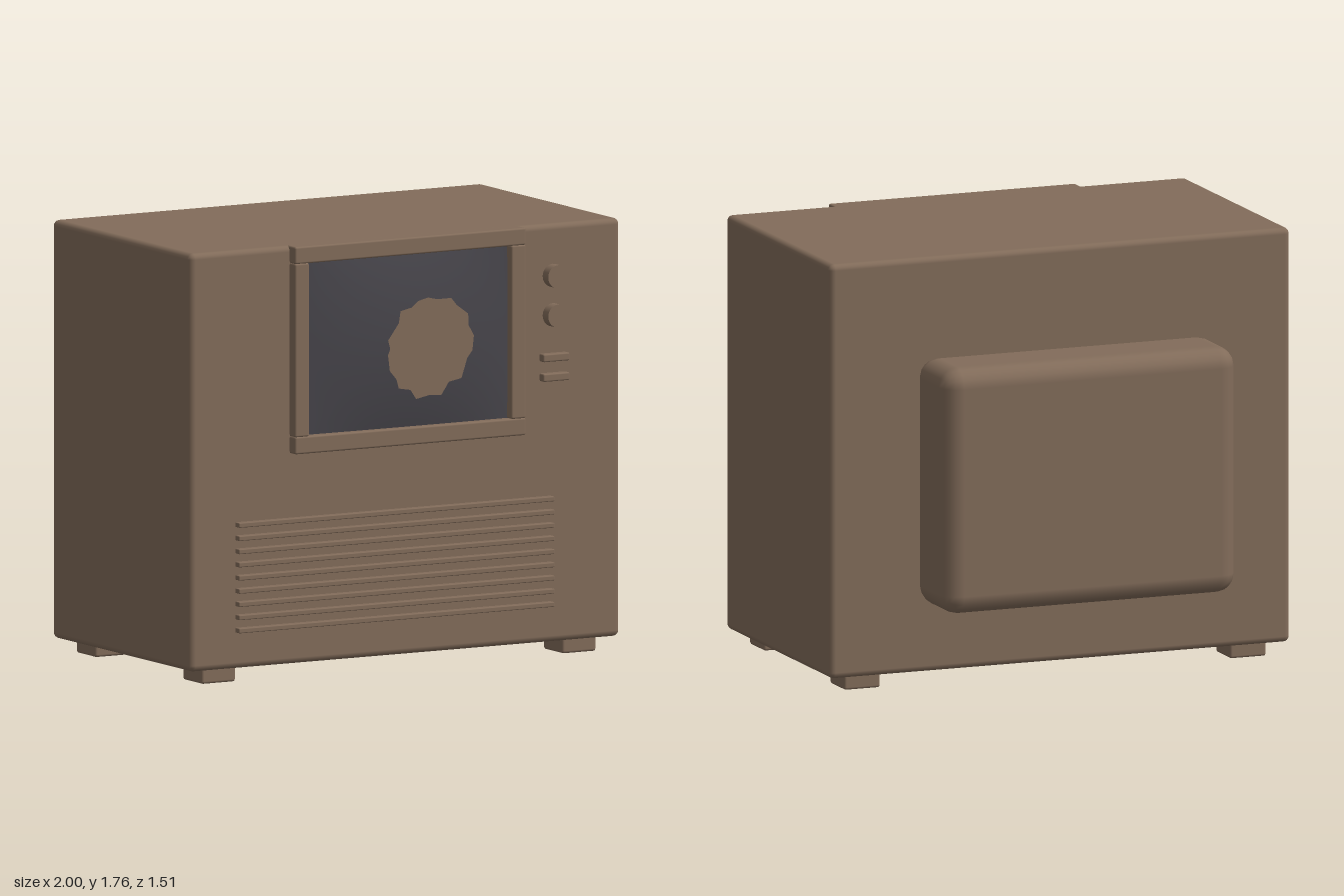
import * as THREE from 'three';
import { RoundedBoxGeometry } from 'three/addons/geometries/RoundedBoxGeometry.js';

const casing = new THREE.MeshStandardMaterial({ color: 0x826c5a });
casing.name = 'brown casing';
const glass = new THREE.MeshStandardMaterial({ color: 0x47454b, side: THREE.DoubleSide });
glass.name = 'dark glass';

const FRONT = 0.703;

// Rounded box given by its min and max on each axis
function box(name, [x0, x1], [y0, y1], [z0, z1], radius) {
  const geometry = new RoundedBoxGeometry(x1 - x0, y1 - y0, z1 - z0, 2, radius);
  const mesh = new THREE.Mesh(geometry, casing);
  mesh.name = name;
  mesh.position.set((x0 + x1) / 2, (y0 + y1) / 2, (z0 + z1) / 2);
  return mesh;
}

// Factor by which a step d from c must grow to meet the wall on its side
function reachWall(c, d, min, max) {
  if (Math.abs(d) < 1e-6) return Infinity;
  return ((d > 0 ? max : min) - c) / d;
}

// Bulging glass with a jagged hole: rings run from the hole outline to the rim
function brokenScreen() {
  const outline = [
    [0.08, 1.51], [0.125, 1.5], [0.19, 1.5], [0.215, 1.47], [0.27, 1.43], [0.27, 1.385], [0.297, 1.34],
    [0.29, 1.28], [0.265, 1.25], [0.24, 1.17], [0.18, 1.16], [0.147, 1.107], [0.09, 1.112], [0.03, 1.1],
    [0, 1.14], [-0.055, 1.15], [-0.067, 1.187], [-0.1, 1.225], [-0.11, 1.29], [-0.1, 1.315],
    [-0.11, 1.35], [-0.06, 1.417], [-0.05, 1.465], [0, 1.475], [0.035, 1.5],
  ].reverse();
  const cx = 0.09, cy = 1.31, midY = 1.34, halfW = 0.5, halfH = 0.38;
  const rings = 10, split = 4, count = outline.length * split;
  const positions = [], index = [];
  for (let i = 0; i < count; i++) {
    const corner = Math.floor(i / split), t = (i % split) / split;
    const a = outline[corner], b = outline[(corner + 1) % outline.length];
    const dx = a[0] + (b[0] - a[0]) * t - cx;
    const dy = a[1] + (b[1] - a[1]) * t - cy;
    const reach = Math.min(
      reachWall(cx, dx, -halfW, halfW),
      reachWall(cy, dy, midY - halfH, midY + halfH));
    for (let r = 0; r <= rings; r++) {
      const s = 1 + (reach - 1) * r / rings;
      const x = cx + dx * s, y = cy + dy * s;
      const u = x / halfW, v = (y - midY) / halfH;
      positions.push(x, y, 0.71 + 0.046 * (1 - u * u) * (1 - v * v));
      if (r < rings) {
        const p = i * (rings + 1) + r, q = ((i + 1) % count) * (rings + 1) + r;
        index.push(p, p + 1, q + 1, p, q + 1, q);
      }
    }
  }
  const geometry = new THREE.BufferGeometry();
  geometry.setAttribute('position', new THREE.Float32BufferAttribute(positions, 3));
  geometry.setIndex(index);
  geometry.computeVertexNormals();
  const mesh = new THREE.Mesh(geometry, glass);
  mesh.name = 'brokenScreen';
  return mesh;
}

export function createModel() {
  const model = new THREE.Group();
  model.name = 'television';

  // Cabinet and the tube housing behind it
  model.add(box('cabinet', [-1, 1], [0.06, 1.76], [-0.409, FRONT], 0.025));
  model.add(box('rearHousing', [-0.638, 0.638], [0.35, 1.36], [-0.755, -0.41], 0.08));

  // Screen and its frame
  model.add(brokenScreen());
  const frameZ = [FRONT - 0.03, 0.748];
  model.add(box('frameTop', [-0.538, 0.535], [1.69, 1.76], frameZ, 0.008));
  model.add(box('frameBottom', [-0.538, 0.535], [0.917, 0.988], frameZ, 0.008));
  for (const [name, x] of [['frameRight', [-0.538, -0.472]], ['frameLeft', [0.468, 0.535]]]) {
    model.add(box(name, x, [0.986, 1.692], frameZ, 0.008));
  }

  // Round knobs
  for (const y of [1.55, 1.39]) {
    const knob = new THREE.Mesh(new THREE.CylinderGeometry(0.047, 0.047, 0.06, 32), casing);
    knob.name = 'knob';
    knob.rotation.x = Math.PI / 2;
    knob.position.set(0.685, y, 0.718);
    model.add(knob);
  }

  // Flat buttons
  for (const y of [1.22, 1.14]) {
    model.add(box('button', [0.624, 0.746], [y - 0.016, y + 0.016], [FRONT - 0.02, 0.735], 0.006));
  }

  // Speaker slats
  for (let i = 0; i < 9; i++) {
    const y = 0.217 + i * 0.0536;
    model.add(box('speakerSlat', [-0.79, 0.677], [y - 0.01, y + 0.01], [FRONT - 0.02, 0.733], 0.004));
  }

  // Feet
  for (const side of [-1, 1]) {
    for (const z of [0.575, -0.278]) {
      const x = side * 0.838;
      model.add(box('foot', [x - 0.078, x + 0.078], [0, 0.065], [z - 0.078, z + 0.078], 0.01));
    }
  }
  return model;
}
